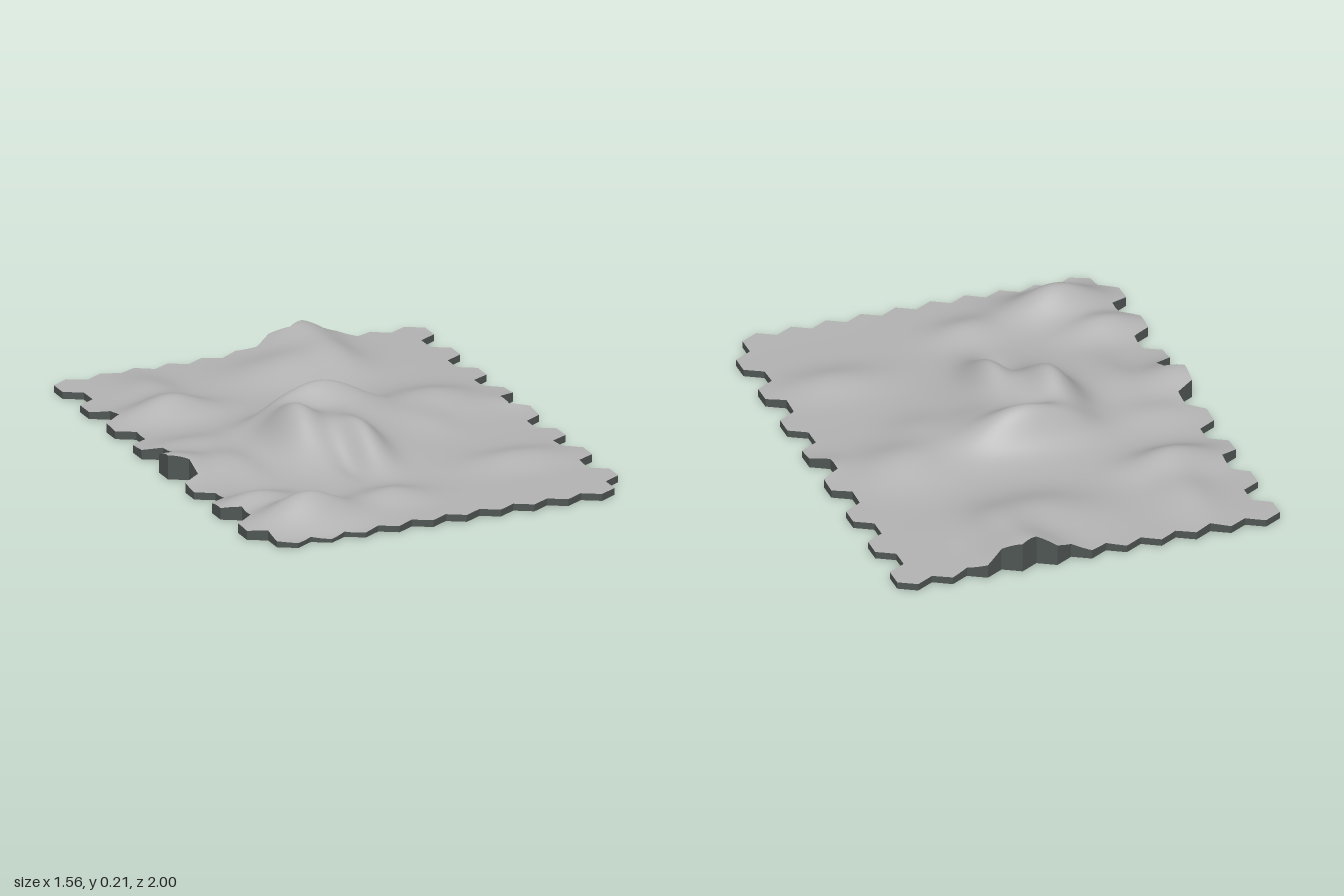
import * as THREE from 'three';

const SIDE = 2 / 24.5;              // hexagon side, 16 interlocking rows in 2 units
const WIDTH = SIDE * Math.sqrt(3);
const ROWS = 16, STEPS = 5, GROUND = 0.028;

// Hills and hollows: x, z, height, spread in x, spread in z
const massif = [
  [-0.08, 0.05, 0.09, 0.20, 0.22],
  [-0.23, 0.08, 0.115, 0.07, 0.13],
  [-0.05, -0.16, 0.105, 0.14, 0.055],
  [-0.04, 0.27, 0.09, 0.06, 0.12],
  [0.12, -0.08, 0.05, 0.12, 0.10],
  [-0.13, 0.37, -0.03, 0.04, 0.08],
];
const foothills = [
  [-0.50, 0.78, 0.108, 0.13, 0.075],
  [-0.50, 0.98, -0.015, 0.15, 0.05],
  [-0.62, 0.57, 0.055, 0.11, 0.06],
  [-0.12, 0.72, 0.04, 0.10, 0.07],
  [0.50, 0.53, 0.035, 0.14, 0.08],
  [-0.76, 0.10, 0.07, 0.12, 0.09],
  [-0.52, 0.18, 0.025, 0.06, 0.14],
  [-0.60, -0.12, 0.025, 0.12, 0.07],
  [-0.52, -0.48, 0.065, 0.13, 0.07],
  [-0.48, -0.70, 0.04, 0.08, 0.14],
  [0.25, -1.00, 0.09, 0.11, 0.13],
  [0.12, -0.70, 0.065, 0.17, 0.12],
  [0.30, -0.76, 0.03, 0.07, 0.12],
  [0.45, -0.16, 0.06, 0.14, 0.11],
  [0.33, 0.06, 0.025, 0.09, 0.09],
  [0.76, -0.05, 0.018, 0.07, 0.06],
];
const hills = [...massif, ...foothills];

function height(x, z) {
  let y = GROUND;
  for (const [cx, cz, h, sx, sz] of hills) {
    y += h * Math.exp(-0.5 * (((x - cx) / sx) ** 2 + ((z - cz) / sz) ** 2));
  }
  return Math.max(y, 0.01);
}

function slopeNormal(x, z) {
  const e = 0.004;
  return new THREE.Vector3(
    height(x - e, z) - height(x + e, z), 2 * e, height(x, z - e) - height(x, z + e)
  ).normalize();
}

function makeGeometry(positions, normals) {
  const g = new THREE.BufferGeometry();
  g.setAttribute('position', new THREE.Float32BufferAttribute(positions, 3));
  if (normals) g.setAttribute('normal', new THREE.Float32BufferAttribute(normals, 3));
  else g.computeVertexNormals();
  return g;
}

// Is there a tile centred here?
const hasTile = (x, z) => Math.abs(x) < 5.2 * WIDTH && Math.abs(z) < 7.8 * 1.5 * SIDE;

const corner = (k) => {
  const a = Math.PI / 6 + k * Math.PI / 3;
  return [SIDE * Math.cos(a), SIDE * Math.sin(a)];
};

export function createModel() {
  const stone = new THREE.MeshStandardMaterial({ color: 0xb2b2b2 });
  stone.name = 'light grey stone';
  const dark = new THREE.MeshStandardMaterial({ color: 0x4f5653 });
  dark.name = 'dark grey base';

  const top = [], topNormals = [], walls = [], floor = [];
  const addTop = (x, z) => {
    top.push(x, height(x, z), z);
    topNormals.push(...slopeNormal(x, z).toArray());
  };

  for (let row = 0; row < ROWS; row++) {
    const count = row % 2 ? 10 : 11;
    const cz = (row - (ROWS - 1) / 2) * 1.5 * SIDE;
    for (let col = 0; col < count; col++) {
      const cx = (col - (count - 1) / 2) * WIDTH;
      for (let k = 0; k < 6; k++) {
        const [ax, az] = corner(k), [bx, bz] = corner(k + 1);
        const at = (i, j) => [cx + (i * ax + j * bx) / STEPS, cz + (i * az + j * bz) / STEPS];

        // Terrain sector
        for (let i = 0; i < STEPS; i++) {
          for (let j = 0; i + j < STEPS; j++) {
            addTop(...at(i, j)); addTop(...at(i, j + 1)); addTop(...at(i + 1, j));
            if (i + j < STEPS - 1) {
              addTop(...at(i + 1, j)); addTop(...at(i, j + 1)); addTop(...at(i + 1, j + 1));
            }
          }
        }

        // Underside sector
        floor.push(cx, 0, cz, cx + ax, 0, cz + az, cx + bx, 0, cz + bz);

        // Wall where no tile adjoins
        if (hasTile(cx + ax + bx, cz + az + bz)) continue;
        for (let j = 0; j < STEPS; j++) {
          const [px, pz] = at(STEPS - j, j), [qx, qz] = at(STEPS - j - 1, j + 1);
          const py = height(px, pz), qy = height(qx, qz);
          walls.push(px, 0, pz, px, py, pz, qx, qy, qz);
          walls.push(px, 0, pz, qx, qy, qz, qx, 0, qz);
        }
      }
    }
  }

  const group = new THREE.Group();
  group.name = 'hexTerrainBoard';
  const add = (name, geometry, material) => {
    const mesh = new THREE.Mesh(geometry, material);
    mesh.name = name;
    group.add(mesh);
  };
  add('terrain', makeGeometry(top, topNormals), stone);
  add('edgeWalls', makeGeometry(walls), dark);
  add('underside', makeGeometry(floor), dark);
  return group;
}
